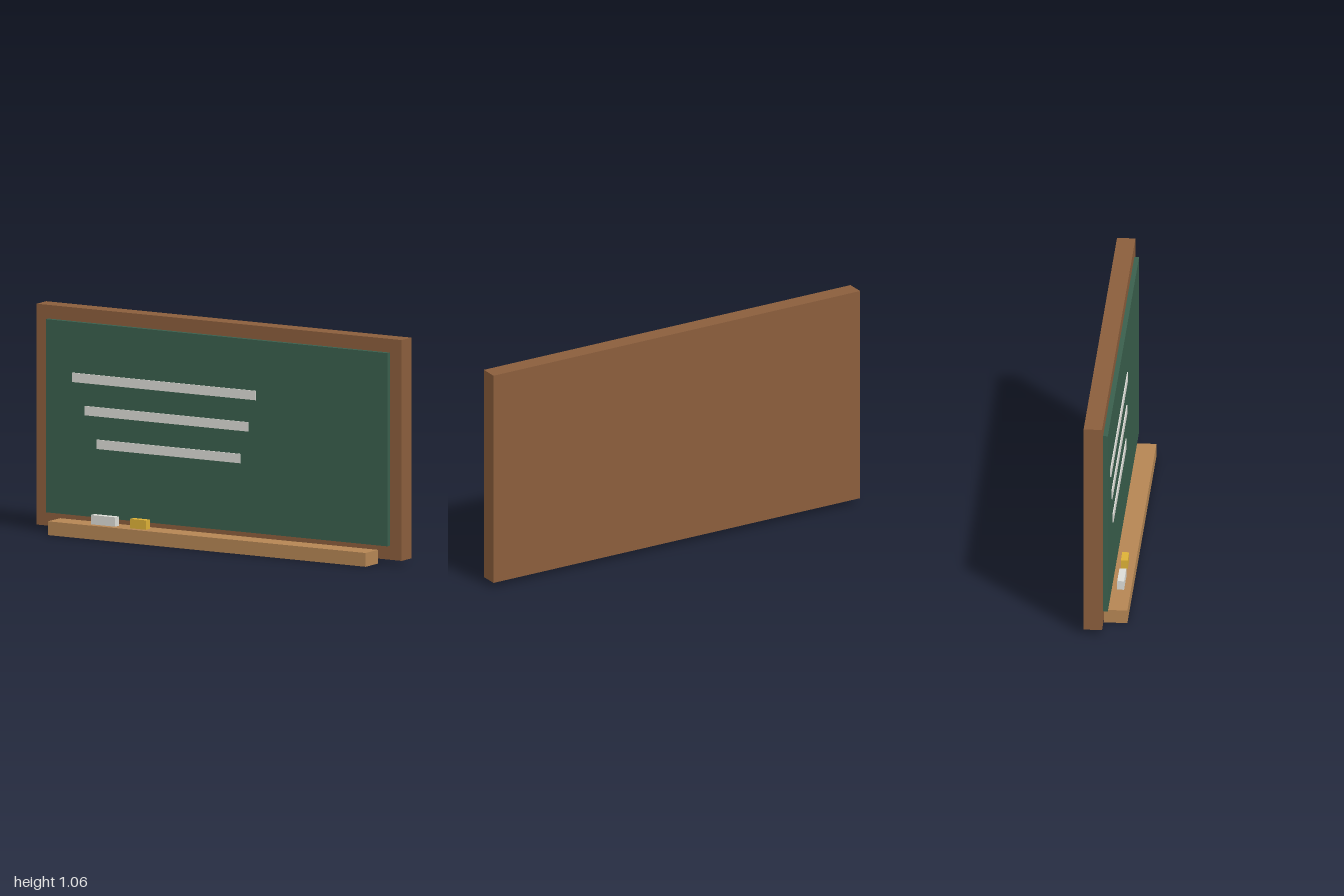
import * as THREE from 'three';

const material = (name, color) => {
  const m = new THREE.MeshStandardMaterial({ color });
  m.name = name;
  return m;
};

export function createModel() {
  const group = new THREE.Group();
  group.name = 'chalkboard';

  const darkWood = material('dark wood', 0x8b5e3c);
  const lightWood = material('light wood', 0xb58654);
  const boardGreen = material('board green', 0x3a5f4d);
  const chalkWhite = material('chalk white', 0xdcdcd6);
  const chalkYellow = material('chalk yellow', 0xddb137);

  // Box given by its extents along each axis
  const block = (name, mat, [x0, x1], [y0, y1], [z0, z1]) => {
    const mesh = new THREE.Mesh(new THREE.BoxGeometry(x1 - x0, y1 - y0, z1 - z0), mat);
    mesh.position.set((x0 + x1) / 2, (y0 + y1) / 2, (z0 + z1) / 2);
    mesh.name = name;
    group.add(mesh);
  };

  // Wooden backing, writing surface and chalk tray
  block('frame', darkWood, [-1, 1], [0.024, 1.064], [-0.097, -0.011]);
  block('writingSurface', boardGreen, [-0.935, 0.935], [0.09, 1.0], [-0.011, 0.011]);
  block('tray', lightWood, [-0.87, 0.87], [0, 0.065], [-0.011, 0.097]);

  // Chalk strokes as thin plates on the surface
  [[-0.79, 0.217, 0.739], [-0.72, 0.175, 0.588], [-0.655, 0.132, 0.435]].forEach(([x0, x1, y], i) =>
    block(`chalkStroke${i + 1}`, chalkWhite, [x0, x1], [y - 0.022, y + 0.022], [0.011, 0.016]));

  // Chalk pieces resting on the tray
  block('whiteChalk', chalkWhite, [-0.655, -0.522], [0.065, 0.109], [0.033, 0.065]);
  block('yellowChalk', chalkYellow, [-0.44, -0.352], [0.065, 0.109], [0.033, 0.065]);

  return group;
}
